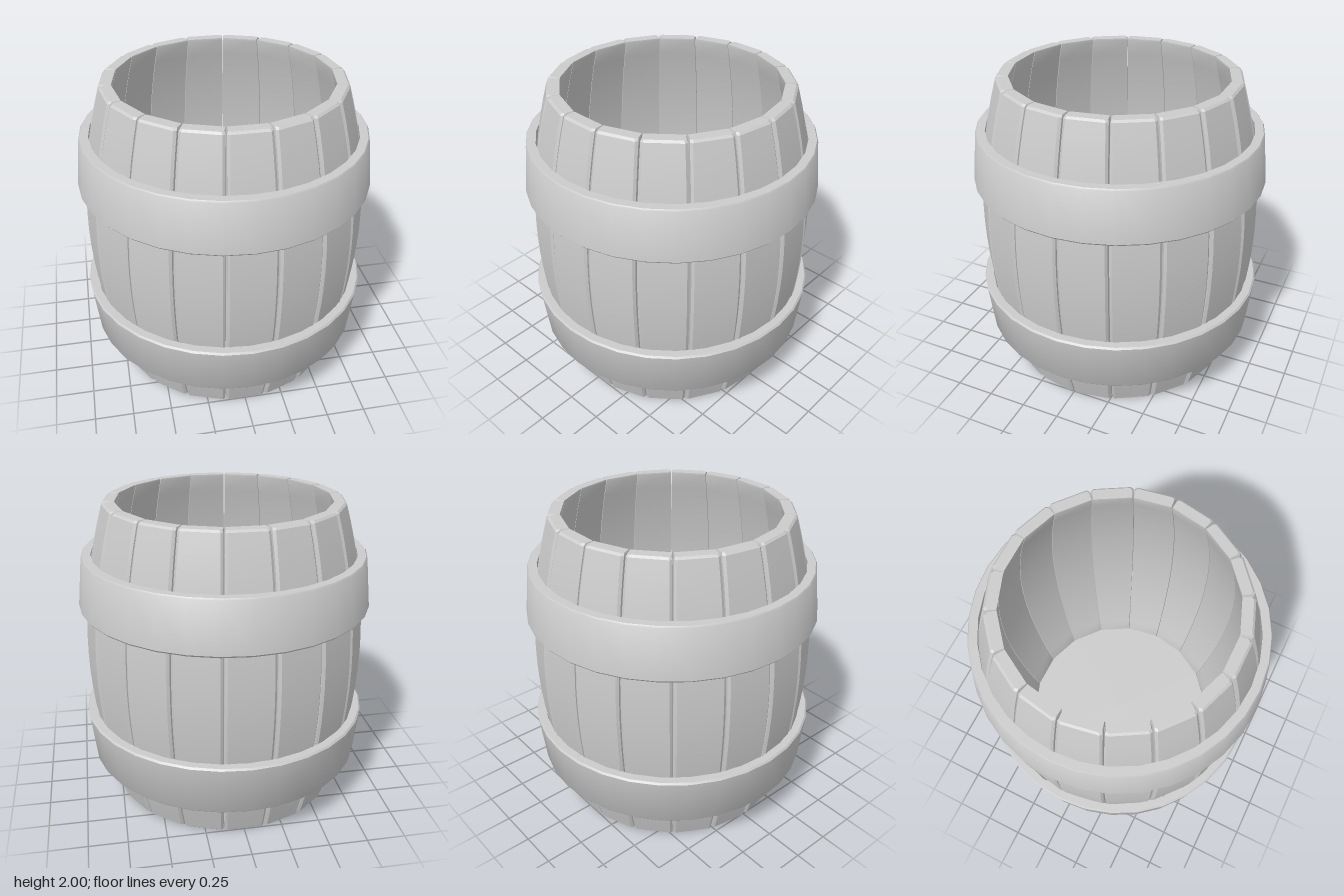
import * as THREE from 'three';
import { toCreasedNormals } from 'three/addons/utils/BufferGeometryUtils.js';

const STAVES = 18;
const TAN = Math.tan(Math.PI / STAVES);

// outer face distance from the barrel axis at height y
const outerRadius = y => 0.905 - 0.152 * (y - 1) ** 2;

// chamfered wedge cross-section of one stave facing +z, counter-clockwise seen from below
function staveSection(y, inset) {
  const ro = outerRadius(y) - inset, ri = outerRadius(y) - 0.08 + inset * 0.4;
  const wo = ro * TAN - 0.007 - inset * 0.5, wi = ri * TAN - 0.002 - inset * 0.2;
  const c = 0.014;
  return [
    [-wi, ri], [wi, ri], [wo, ro - c], [wo - c, ro],
    [-wo + c, ro], [-wo, ro - c],
  ].map(([x, z]) => [x, y, z]);
}

function staveGeometry() {
  const rings = [[0, 0.01], [0.012, 0]];
  for (let i = 1; i < 16; i++) rings.push([i / 8, 0]);
  rings.push([1.988, 0], [2, 0.01]);
  const pos = [], idx = [], n = 6;
  for (const [y, inset] of rings) pos.push(...staveSection(y, inset).flat());
  for (let r = 0; r < rings.length - 1; r++) {
    for (let k = 0; k < n; k++) {
      const a = r * n + k, b = r * n + (k + 1) % n;
      idx.push(a, a + n, b, b, a + n, b + n);
    }
  }
  // end caps
  const top = (rings.length - 1) * n;
  for (let k = 1; k < n - 1; k++) {
    idx.push(0, k, k + 1, top, top + k + 1, top + k);
  }
  const g = new THREE.BufferGeometry();
  g.setAttribute('position', new THREE.Float32BufferAttribute(pos, 3));
  g.setIndex(idx);
  return toCreasedNormals(g, 0.45);
}

// conical hoop, wide at y = 0 and narrow at y = 0.34, with softened outer edges
function hoopGeometry() {
  const profile = [
    [0.89, 0], [0.94, 0], [0.95, 0.012], [0.916, 0.33],
    [0.908, 0.34], [0.855, 0.34], [0.89, 0],
  ].map(([r, y]) => new THREE.Vector2(r, y));
  return toCreasedNormals(new THREE.LatheGeometry(profile, 32), 0.6);
}

export function createModel() {
  const barrel = new THREE.Group();
  barrel.name = 'barrel';
  const material = new THREE.MeshStandardMaterial({ color: 0xcccccc });
  const add = (name, geometry) => {
    const mesh = new THREE.Mesh(geometry, material);
    mesh.name = name;
    barrel.add(mesh);
    return mesh;
  };

  // ring of staves, one centred on the front
  const stave = staveGeometry();
  for (let i = 0; i < STAVES; i++) {
    add('stave' + (i + 1), stave).rotation.y = (i / STAVES) * Math.PI * 2;
  }

  // floor, its sides parallel to the staves
  const floor = new THREE.CylinderGeometry(0.682, 0.682, 0.02, STAVES);
  floor.rotateY(Math.PI / STAVES);
  add('floor', floor).position.y = 0.015;

  // two mirrored hoops, both widest towards the middle
  const hoop = hoopGeometry();
  add('upperHoop', hoop).position.y = 1.33;
  const lower = add('lowerHoop', hoop);
  lower.position.y = 0.6;
  lower.rotation.x = Math.PI;

  return barrel;
}
